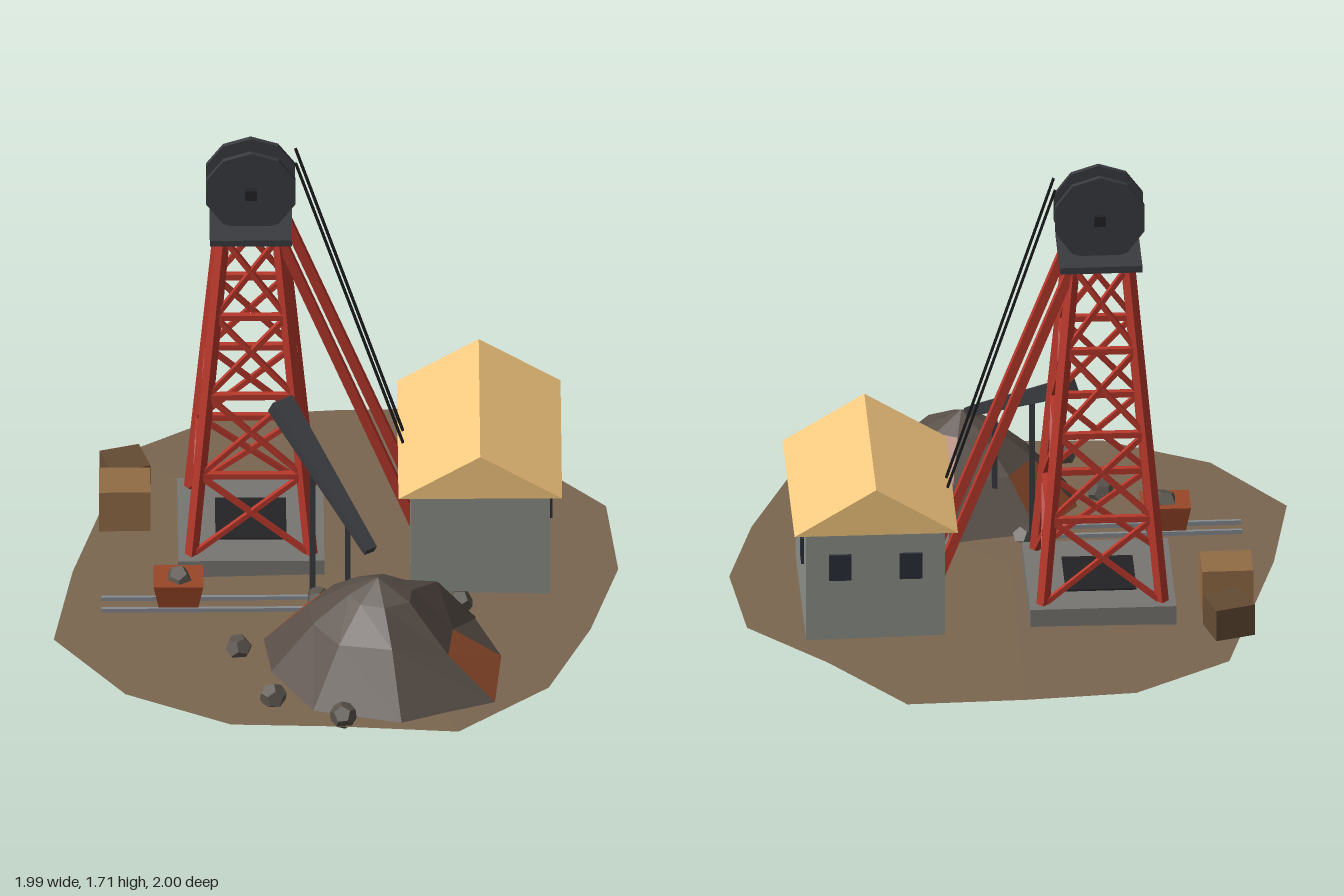
import * as THREE from 'three';

const mat = (color, side = THREE.FrontSide) => new THREE.MeshStandardMaterial({ color, side, flatShading: true });
const M = {
  soil: mat(0x7a6650, THREE.DoubleSide), red: mat(0xb8382b), dark: mat(0x3a3b40), cable: mat(0x1c1c1e),
  wall: mat(0x8c8f88), roof: mat(0xf6c87f), glass: mat(0x2b2e38), concrete: mat(0x777672),
  pit: mat(0x232326), spoil: mat(0x574d46), rust: mat(0x8f4c2c), rock: mat(0x5a544d),
  rail: mat(0x858b90), cart: mat(0x984628), crate: mat(0x926c45), crateDark: mat(0x654c33),
};
const V = (x, y, z) => new THREE.Vector3(x, y, z);

function add(parent, name, geo, material, x = 0, y = 0, z = 0) {
  const m = new THREE.Mesh(geo, material);
  m.name = name;
  m.position.set(x, y, z);
  parent.add(m);
  return m;
}
function box(parent, name, w, h, d, material, x, y, z) {
  return add(parent, name, new THREE.BoxGeometry(w, h, d), material, x, y, z);
}
// Square bar running from a to b, aimed before it joins its parent
function beam(parent, name, a, b, t, material) {
  const m = new THREE.Mesh(new THREE.BoxGeometry(t, t, a.distanceTo(b)), material);
  m.name = name;
  m.position.copy(a).lerp(b, 0.5);
  m.lookAt(b);
  parent.add(m);
  return m;
}
function triangles(points) {
  const g = new THREE.BufferGeometry().setFromPoints(points);
  g.computeVertexNormals();
  return g;
}
function group(parent, name, x = 0, y = 0, z = 0) {
  const g = new THREE.Group();
  g.name = name;
  g.position.set(x, y, z);
  parent.add(g);
  return g;
}

// Slightly domed, irregular patch of earth
function ground(root) {
  const rim = [[0.99, 0], [0.89, 0.37], [0.74, 0.73], [0.42, 1], [0, 0.965], [-0.38, 0.95], [-0.75, 0.76], [-1, 0.42],
    [-0.93, 0], [-0.83, -0.37], [-0.73, -0.74], [-0.39, -0.96], [0, -0.99], [0.42, -1], [0.68, -0.67], [0.95, -0.39]];
  const pts = [];
  rim.forEach(([x, z], i) => {
    const [x2, z2] = rim[(i + 1) % rim.length];
    pts.push(V(0, 0.058, 0), V(x2, 0.037, z2), V(x, 0.037, z));
  });
  add(root, 'ground', triangles(pts), M.soil);
}

// Lattice headframe with platform, twin sheaves, back stays and cables
function headframe(root) {
  const g = group(root, 'headframe', -0.302, 0, -0.205);
  box(g, 'foundation', 0.515, 0.075, 0.515, M.concrete, 0, 0.0775, 0);
  box(g, 'shaftOpening', 0.25, 0.008, 0.25, M.pit, 0, 0.118, 0);
  const base = 0.11, top = 1.39, panels = 4;
  const corner = (i, k) => {
    const t = k / panels, r = THREE.MathUtils.lerp(0.21, 0.098, t);
    const [sx, sz] = [[1, 1], [1, -1], [-1, -1], [-1, 1]][i % 4];
    return V(sx * r, THREE.MathUtils.lerp(base, top, t), sz * r);
  };
  for (let i = 0; i < 4; i++) {
    beam(g, 'leg', corner(i, 0), corner(i, panels), 0.034, M.red);
    for (let k = 0; k < panels; k++) {
      beam(g, 'diagonalBrace', corner(i, k), corner(i + 1, k + 1), 0.018, M.red);
      beam(g, 'diagonalBrace', corner(i + 1, k), corner(i, k + 1), 0.018, M.red);
      if (k > 0) beam(g, 'crossBeam', corner(i, k), corner(i + 1, k), 0.022, M.red);
    }
  }
  box(g, 'platform', 0.29, 0.025, 0.29, M.dark, 0, 1.398, 0.003);
  box(g, 'axle', 0.042, 0.04, 0.15, M.pit, 0, 1.553, 0.003);
  for (const s of [-1, 1]) {
    const disc = new THREE.CylinderGeometry(0.165, 0.165, 0.018, 10).rotateX(Math.PI / 2);
    add(g, 'sheaveWheel', disc, M.dark, 0, 1.553, s * 0.046 + 0.002);
    beam(g, 'backStay', V(0.105, 1.385, s * 0.103), V(0.605, 0.09, s * 0.103), 0.033, M.red);
    beam(g, 'hoistCable', V(0.158, 1.67, s * 0.045), V(0.562, 0.4, s * 0.037 + 0.025), 0.009, M.cable);
  }
}

// Engine house with gabled roof
function house(root) {
  const g = group(root, 'engineHouse', 0.503, 0, -0.173);
  box(g, 'walls', 0.49, 0.435, 0.655, M.wall, 0, 0.2575, 0);
  const gable = new THREE.Shape([new THREE.Vector2(-0.288, 0), new THREE.Vector2(0.288, 0), new THREE.Vector2(0, 0.178)]);
  const roof = new THREE.ExtrudeGeometry(gable, { depth: 0.73, bevelEnabled: false }).translate(0, 0, -0.365);
  add(g, 'roof', roof, M.roof, 0, 0.472, -0.003);
  for (const s of [-1, 1]) {
    box(g, 'sideWindow', 0.02, 0.1, 0.08, M.glass, 0.245, 0.327, s * 0.163);
    box(g, 'backWindow', 0.08, 0.1, 0.02, M.glass, s * 0.125, 0.327, -0.3275);
  }
}

// Faceted waste heap built from shrinking, uneven rings, with rusty patches
function spoilHeap(root) {
  const g = group(root, 'spoilHeap');
  const rim = [[0.21, 0.16], [0.49, 0.3], [0.58, 0.54], [0.55, 0.82], [0.22, 0.945], [-0.09, 0.87],
    [-0.24, 0.635], [-0.27, 0.435], [-0.12, 0.22]];
  const shoulder = [0.21, 0.265, 0.16, 0.165, 0.24, 0.23, 0.225, 0.225, 0.22];
  const scale = [1, 0.6, 0.27, 0];
  const at = (i, k) => {
    const n = i % rim.length, [x, z] = rim[n], f = scale[k];
    const y = [0.038, shoulder[n], 0.33, 0.387][k];
    return V(0.14 + (x - 0.14) * f, y, 0.55 + (z - 0.55) * f);
  };
  const rusty = new Set(['7,0', '2,0', '0,1']);
  const plain = [], rust = [];
  rim.forEach((_, i) => {
    for (let k = 0; k < 3; k++) {
      const a = at(i, k), b = at(i + 1, k), c = at(i + 1, k + 1), d = at(i, k + 1);
      const out = rusty.has(`${i},${k}`) ? rust : plain;
      out.push(a, c, b);
      if (k < 2) out.push(a, d, c);
    }
    plain.push(V(0.14, 0.038, 0.55), at(i, 0), at(i + 1, 0));
  });
  add(g, 'heap', triangles(plain), M.spoil);
  add(g, 'rustyPatches', triangles(rust), M.rust);
}

// Tapered conveyor dropping from the tower to the heap
function conveyor(root) {
  const g = group(root, 'conveyor');
  const belt = beam(g, 'belt', V(-0.2, 0.755, 0), V(0.115, 0.432, 0.45), 1, M.dark);
  const p = belt.geometry.attributes.position;
  for (let i = 0; i < p.count; i++) {
    const low = p.getZ(i) > 0;
    p.setX(i, p.getX(i) * (low ? 0.042 : 0.085));
    p.setY(i, p.getY(i) * (low ? 0.035 : 0.06));
  }
  for (const [x, z, h] of [[-0.087, 0.158, 0.63], [0.035, 0.33, 0.51]]) {
    box(g, 'post', 0.02, h - 0.045, 0.02, M.dark, x, (h + 0.045) / 2, z);
  }
}

// Rails, ore cart, crates and loose stones
function yard(root) {
  const g = group(root, 'yard');
  for (const z of [0.197, 0.268]) box(g, 'rail', 0.75, 0.016, 0.012, M.rail, -0.455, 0.058, z);
  const tub = new THREE.CylinderGeometry(0.5, 0.4, 0.095, 4, 1).rotateY(Math.PI / 4).scale(0.175 * Math.SQRT2, 1, 0.14 * Math.SQRT2);
  add(g, 'oreCart', tub, M.cart, -0.56, 0.127, 0.23);
  box(g, 'crate', 0.18, 0.165, 0.155, M.crate, -0.745, 0.128, -0.313);
  box(g, 'smallCrate', 0.145, 0.12, 0.14, M.crateDark, -0.742, 0.105, -0.515).rotation.y = 0.29;
  const stones = [[0.43, 0.06, 0.235], [-0.35, 0.062, 0.51], [-0.23, 0.06, 0.81], [0.015, 0.062, 0.93],
    [-0.065, 0.055, 0.205], [-0.56, 0.155, 0.235]];
  stones.forEach(([x, y, z], i) => {
    const inCart = i === 5;
    const s = add(g, inCart ? 'ore' : 'stone', new THREE.DodecahedronGeometry(inCart ? 0.06 : 0.049), M.rock, x, y, z);
    s.rotation.set(i * 1.3, i * 0.7, i * 0.4);
    if (inCart) s.scale.y = 0.8;
  });
}

export function createModel() {
  const root = new THREE.Group();
  root.name = 'mineSite';
  [ground, headframe, house, spoilHeap, conveyor, yard].forEach((build) => build(root));
  return root;
}
